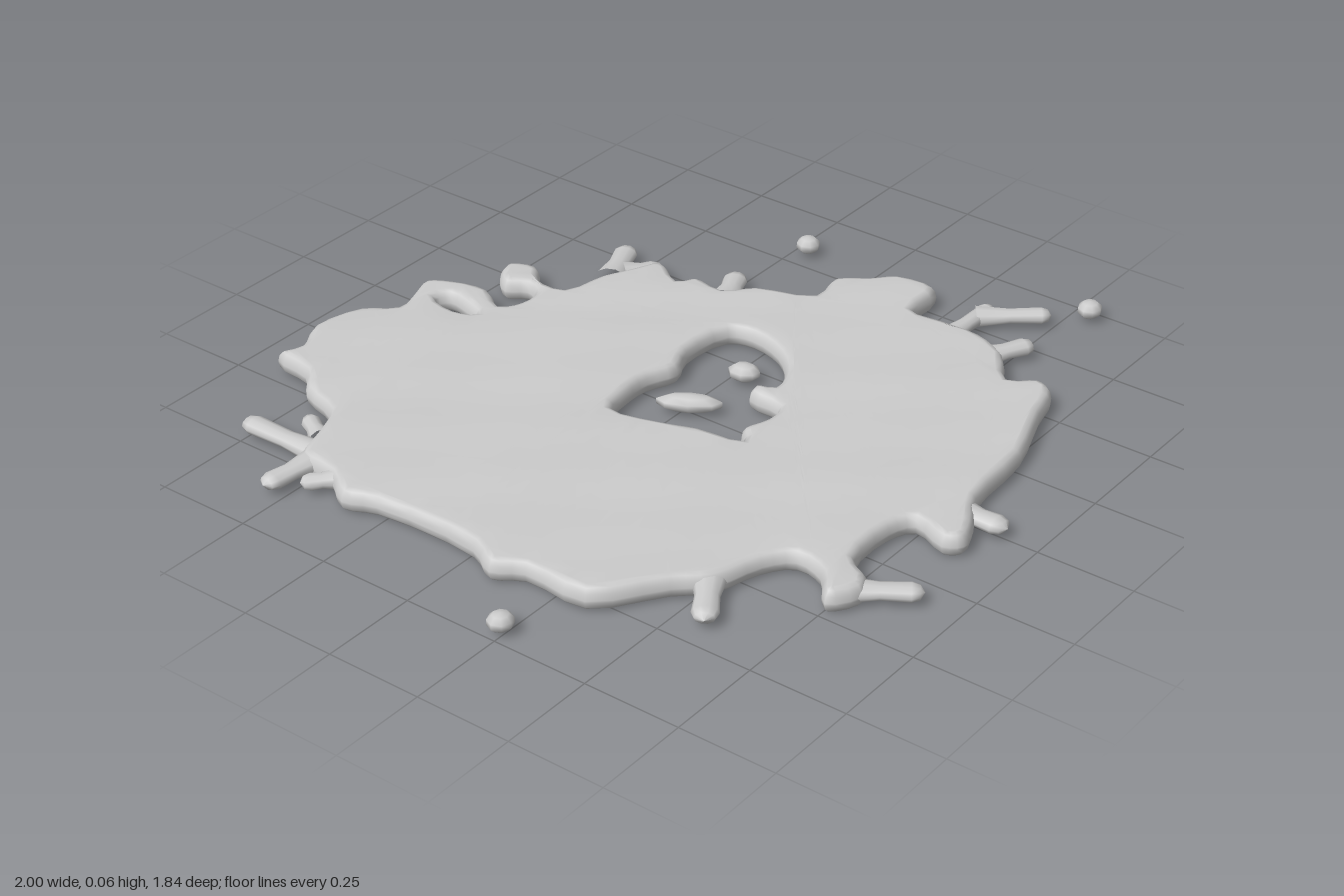
import * as THREE from 'three';
import { mergeVertices } from 'three/addons/utils/BufferGeometryUtils.js';

const material = new THREE.MeshStandardMaterial({ color: 0xcccccc });

// Control points are x, z pairs in hundredths of a unit
const OUTLINE = [
  -46, -90, -40, -88, -31, -92, -17, -89, -11, -82, -5, -83, 3, -85, 7, -79, 9, -69, 5, -62, 9, -59, 15, -59,
  17, -63, 14, -68, 18, -73, 23, -74, 26, -67, 21, -62, 21, -54, 32, -51, 38, -48, 47, -43, 42, -34,
  46, -31, 45, -22, 51, -16, 57, -2, 67, -3, 73, 4, 78, 9, 78, 21, 66, 22, 66, 31, 66, 42, 62, 51, 52, 59,
  56, 65, 54, 70, 44, 73, 26, 79, 4, 81, -5, 86, -12, 88, -15, 84, -12, 75, -18, 72, -33, 73, -37, 79,
  -42, 81, -49, 76, -42, 70, -40, 62, -46, 57, -58, 53, -65, 46, -80, 34, -80, 17, -84, 10, -80, 2,
  -80, -27, -83, -35, -78, -43, -76, -54, -66, -58, -58, -62, -54, -73, -48, -79,
];
const INNER_HOLE = [
  -16, -9, -8, -11, 0, -11, 8, -8, 16, -11, 30, -9, 32, -3, 29, 7, 22, 14, 15, 16, 13, 12, 9, 13,
  8, 22, 2, 23, -5, 21, -9, 24, -11, 13, -14, 4,
];
const LOOP_HOLE = [-2, -77, 1, -75, 0, -69, -2, -64, -4, -69];

// Thin drips: start x, z, end x, z, radius
const DRIPS = [
  [36, -51, 51, -57, 3.2], [40, -50, 48, -43, 3.2], [45, -21, 57, -26, 3.2],
  [62, 34, 82, 35, 2.4], [76, 34, 88, 49, 2.6], [60, 46, 73, 53, 2.8],
  [0, 78, 0, 92, 3.2], [-42, 76, -32, 91, 3], [-56, 50, -70, 59, 3.2],
  [-71, -52, -71, -77, 3], [-74, -52, -89, -54, 3], [-66, -57, -61, -66, 2.4], [-76, -42, -83, -48, 2.5],
];
// Loose blobs: x, z, radius along, radius across, turn
const BLOBS = [
  [81, -21, 3.2, 3.2, 0], [-96.6, 24, 3.4, 3.2, 0], [96.6, 55, 3.4, 3.2, 0],
  [19, 4, 4.2, 3.2, 1.9], [-0.5, 2, 8.5, 3, -1.05],
];

function smoothLoop(flat) {
  const pts = [];
  for (let i = 0; i < flat.length; i += 2) pts.push(new THREE.Vector3(flat[i] / 100, flat[i + 1] / 100, 0));
  const curve = new THREE.CatmullRomCurve3(pts, true, 'centripetal');
  return curve.getPoints(pts.length * 3).slice(0, -1).map(p => new THREE.Vector2(p.x, p.y));
}

// Halve the longest edge until every triangle is small enough
function subdivide(a, b, c, max, out) {
  const ab = a.distanceTo(b), bc = b.distanceTo(c), ca = c.distanceTo(a);
  const longest = Math.max(ab, bc, ca);
  if (longest < max) { out.push(...a.toArray(), ...b.toArray(), ...c.toArray()); return; }
  if (longest === bc) [a, b, c] = [b, c, a];
  else if (longest === ca) [a, b, c] = [c, a, b];
  const m = a.clone().add(b).multiplyScalar(0.5);
  subdivide(a, m, c, max, out);
  subdivide(m, b, c, max, out);
}

function puddleGeometry() {
  const shape = new THREE.Shape(smoothLoop(OUTLINE));
  shape.holes = [INNER_HOLE, LOOP_HOLE].map(h => new THREE.Path(smoothLoop(h)));
  const slab = new THREE.ExtrudeGeometry(shape, {
    depth: 0.005, bevelThickness: 0.025, bevelSize: 0.022, bevelOffset: -0.022, bevelSegments: 3,
  });
  slab.rotateX(Math.PI / 2).translate(0, 0.03, 0);
  const src = slab.attributes.position, out = [];
  const corner = i => new THREE.Vector3().fromBufferAttribute(src, i);
  for (let i = 0; i < src.count; i += 3) subdivide(corner(i), corner(i + 1), corner(i + 2), 0.08, out);

  // Gentle waves on the upper side, with the underside left flat
  for (let i = 0; i < out.length; i += 3) {
    const [x, y, z] = out.slice(i, i + 3);
    if (y < 0.028) continue;
    const wave = Math.sin(9 * x + 4 * z) * Math.cos(11 * z - 3 * x) + 0.6 * Math.sin(23 * x - 17 * z);
    out[i + 1] = 0.028 + (y - 0.028) * (1.2 + 0.07 * wave);
  }
  const geo = new THREE.BufferGeometry();
  geo.setAttribute('position', new THREE.Float32BufferAttribute(out, 3));
  const merged = mergeVertices(geo, 1e-5);
  merged.computeVertexNormals();
  return merged;
}

function drip([x0, z0, x1, z1, radius]) {
  const dx = (x1 - x0) / 100, dz = (z1 - z0) / 100, len = Math.hypot(dx, dz), r = radius / 100;
  const bulb = Math.min(r, len / 3);
  const profile = [[1.3, 0], [0.9, len * 0.45], [1, len - bulb], [0.75, len - bulb * 0.35], [0, len]];
  const geo = new THREE.LatheGeometry(profile.map(([k, y]) => new THREE.Vector2(k * r, y)), 10);
  geo.rotateZ(-Math.PI / 2).scale(1, 0.026 / (1.3 * r), 1);
  const mesh = new THREE.Mesh(geo, material);
  mesh.position.set(x0 / 100, 0.03, z0 / 100);
  mesh.rotation.y = -Math.atan2(dz, dx);
  mesh.name = 'drip';
  return mesh;
}

function blob([x, z, along, across, turn]) {
  const mesh = new THREE.Mesh(new THREE.SphereGeometry(1, 8, 5), material);
  mesh.scale.set(along / 100, 0.023, across / 100);
  mesh.position.set(x / 100, 0.03, z / 100);
  mesh.rotation.y = turn;
  mesh.name = 'looseDroplet';
  return mesh;
}

export function createModel() {
  const model = new THREE.Group();
  model.name = 'splatter';
  const puddle = new THREE.Mesh(puddleGeometry(), material);
  puddle.name = 'puddle';
  model.add(puddle, ...DRIPS.map(drip), ...BLOBS.map(blob));
  return model;
}
